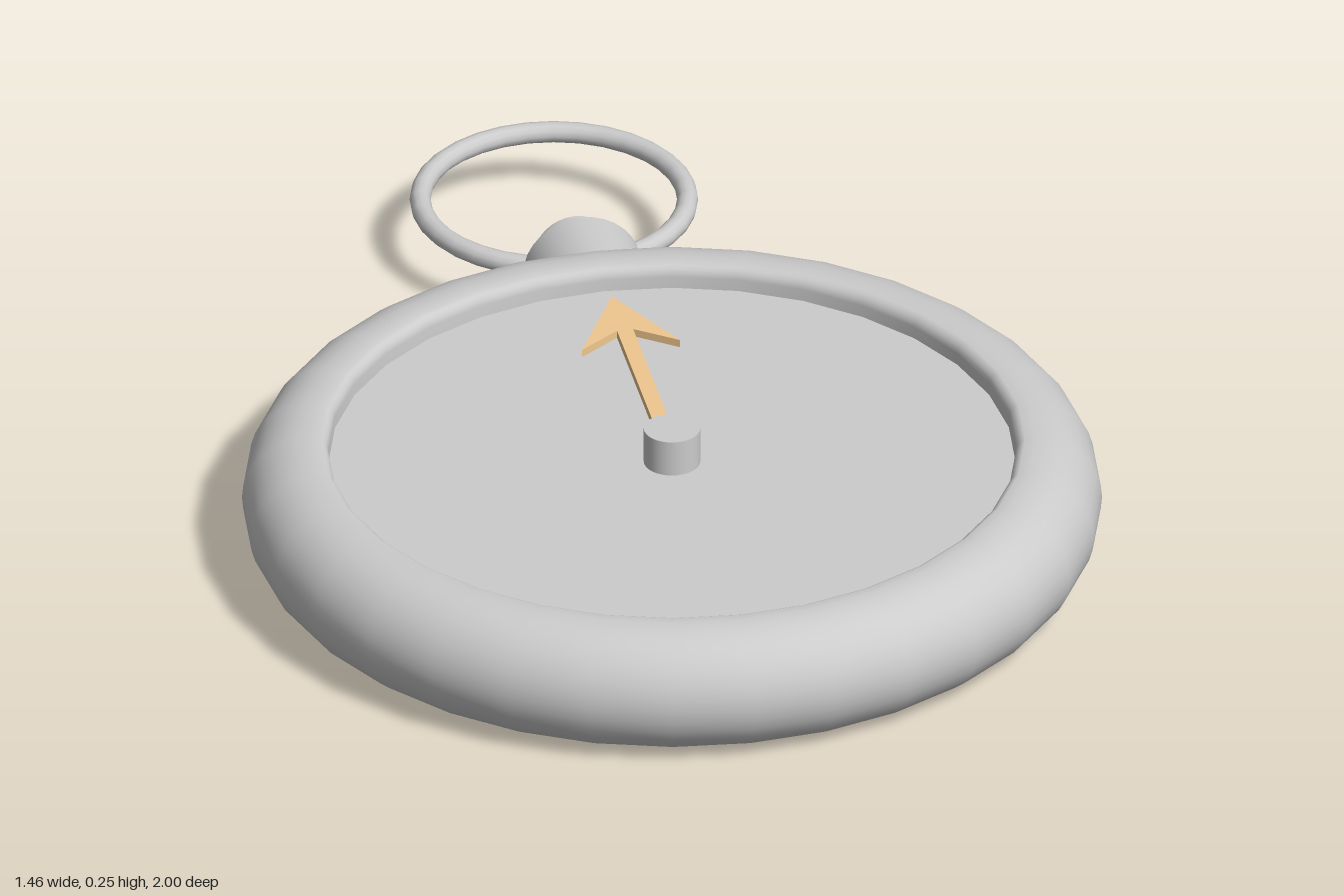
import * as THREE from 'three';

const MID = 0.113;      // half the case thickness
const CASE_Z = 0.265;   // centre of the case
const FACE_Y = 0.183;   // height of the recessed dial

export function createModel() {
  const model = new THREE.Group();
  model.name = 'pocketCompass';
  const grey = new THREE.MeshStandardMaterial({ color: 0xcccccc });
  const tan = new THREE.MeshStandardMaterial({ color: 0xf0c890 });

  const add = (name, geometry, material, x, y, z) => {
    const mesh = new THREE.Mesh(geometry, material);
    mesh.name = name;
    mesh.position.set(x, y, z);
    model.add(mesh);
    return mesh;
  };

  // Case: flat back, half-round side, softly rounded inner lip
  const profile = [new THREE.Vector2(0, 0)];
  for (let i = 0; i <= 16; i++) {
    const a = -Math.PI / 2 + (Math.PI * i) / 16;
    profile.push(new THREE.Vector2(0.617 + MID * Math.cos(a), MID + MID * Math.sin(a)));
  }
  for (let i = 1; i <= 5; i++) {
    const a = Math.PI / 2 * (1 + i / 5);
    profile.push(new THREE.Vector2(0.606 + 0.022 * Math.cos(a), 2 * MID - 0.022 + 0.022 * Math.sin(a)));
  }
  profile.push(new THREE.Vector2(0.583, FACE_Y));
  add('case', new THREE.LatheGeometry(profile, 32), grey, 0, 0, CASE_Z);

  // Dial
  const dial = new THREE.CircleGeometry(0.583, 32);
  dial.rotateX(-Math.PI / 2);
  add('dial', dial, grey, 0, FACE_Y, CASE_Z);

  // Centre pin
  add('centrePin', new THREE.CylinderGeometry(0.048, 0.048, 0.066, 32), grey, 0, 0.215, CASE_Z);

  // Needle: arrow outline drawn towards +y, laid down to point at -z
  const outline = [[0.014, 0], [0.014, 0.405], [0.085, 0.353], [0, 0.52],
    [-0.085, 0.353], [-0.014, 0.405], [-0.014, 0]];
  const arrow = new THREE.Shape(outline.map(([x, y]) => new THREE.Vector2(x, y)));
  const needle = new THREE.ExtrudeGeometry(arrow, { depth: 0.014, bevelEnabled: false });
  needle.rotateX(-Math.PI / 2);
  add('needle', needle, tan, 0, 0.195, CASE_Z);

  // Stepped stem, each step [name, radius, front z, back z]
  const steps = [
    ['stemCollar', 0.102, -0.36, -0.515],
    ['stemNeck', 0.07, -0.515, -0.575],
    ['stemTip', 0.03, -0.575, -0.627],
  ];
  for (const [name, radius, z0, z1] of steps) {
    const step = new THREE.CylinderGeometry(radius, radius, z0 - z1, 32);
    step.rotateX(Math.PI / 2);
    add(name, step, grey, 0, MID, (z0 + z1) / 2);
  }

  // Hanging ring
  const ring = new THREE.TorusGeometry(0.227, 0.018, 12, 32);
  ring.rotateX(Math.PI / 2);
  add('hangingRing', ring, grey, 0, MID, -0.755);

  return model;
}
